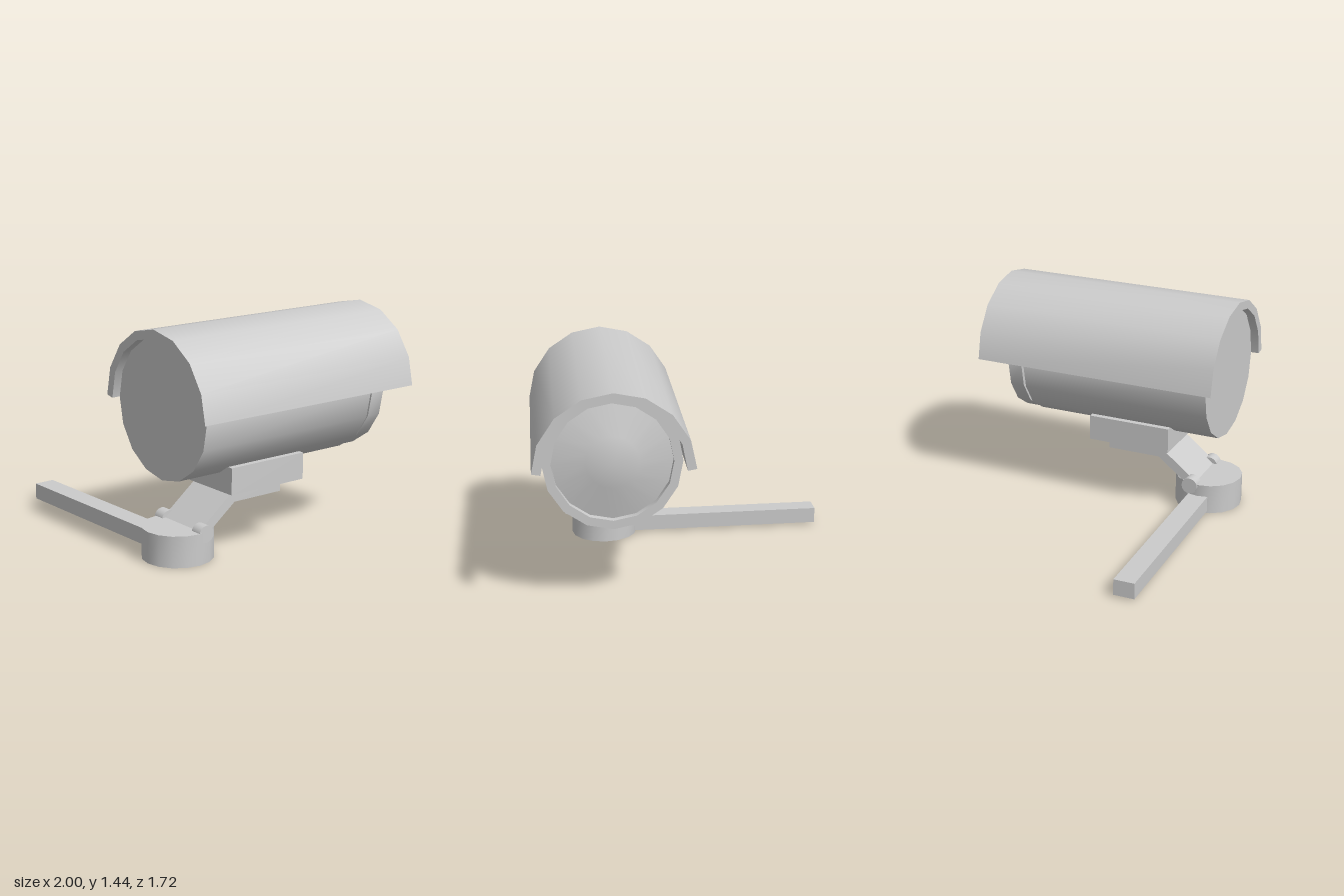
import * as THREE from 'three';
import { toCreasedNormals } from 'three/addons/utils/BufferGeometryUtils.js';

const material = new THREE.MeshStandardMaterial({ color: 0xcccccc });
const SIDES = 16;
const CX = 0.502, CY = 0.943; // axis of the housing

export function createModel() {
  const model = new THREE.Group();

  function add(name, geometry, x = 0, y = 0, z = 0) {
    const mesh = new THREE.Mesh(toCreasedNormals(geometry, 0.6), material);
    mesh.name = name;
    mesh.position.set(x, y, z);
    model.add(mesh);
    return mesh;
  }

  // Turned part around the housing axis; profile is [radius, z], back to front
  function turned(name, profile) {
    const points = profile.map(([r, z]) => new THREE.Vector2(r, z));
    add(name, new THREE.LatheGeometry(points, SIDES).rotateX(Math.PI / 2), CX, CY, 0);
  }

  function extruded(points, depth) {
    const shape = new THREE.Shape(points.map(([x, y]) => new THREE.Vector2(x, y)));
    return new THREE.ExtrudeGeometry(shape, { depth, bevelEnabled: false });
  }

  // Housing with groove, raised rim and domed lens at the back
  turned('housing', [[0.4, -0.57], [0.4, -0.55], [0.4375, -0.55], [0.4375, 0.75], [0, 0.75]]);
  turned('lensRim', [[0.375, -0.61], [0.375, -0.667], [0.43, -0.667], [0.43, -0.57], [0.4, -0.57]]);
  turned('lens', [[0, -0.702], [0.165, -0.667], [0.38, -0.62]]);

  // Half-round sun hood, open below
  const outer = [], inner = [];
  for (let i = 0; i <= 8; i++) {
    const a = (i / 8) * Math.PI;
    const lift = i % 8 === 0 ? 0.01 : 0;
    outer.push([0.493 * Math.cos(a), 0.493 * Math.sin(a) + lift]);
    inner.unshift([0.437 * Math.cos(a), 0.437 * Math.sin(a)]);
  }
  add('sunHood', extruded([...outer, ...inner], 1.665), CX, CY, -0.86);

  // Mounting block under the housing
  add('mountBlock', new THREE.BoxGeometry(0.565, 0.17, 0.57), 0.502, 0.505, 0.155);

  // Bent arm: side profile as [z, y], extruded across x
  const armProfile = [
    [-0.03, 0.335], [0.335, 0.335], [0.56, 0.16], [0.62, 0.19], [0.33, 0.42], [-0.03, 0.42],
  ].map(([z, y]) => [-z, y]);
  add('arm', extruded(armProfile, 0.365).rotateY(Math.PI / 2), 0.318, 0, 0);

  // Hinge pins on both sides of the arm
  for (const [name, x] of [['rightHingePin', 0.302], ['leftHingePin', 0.682]]) {
    add(name, new THREE.CylinderGeometry(0.055, 0.055, 0.078, SIDES).rotateZ(Math.PI / 2), x, 0.187, 0.582);
  }

  // Round base and the long bar reaching sideways from it
  add('base', new THREE.CylinderGeometry(0.225, 0.225, 0.2, SIDES), 0.5, 0.1, 0.635);
  const bar = add('bar', new THREE.BoxGeometry(1.34, 0.106, 0.137), -0.33, 0.067, 0.649);
  bar.rotation.y = 0.021;

  return model;
}
